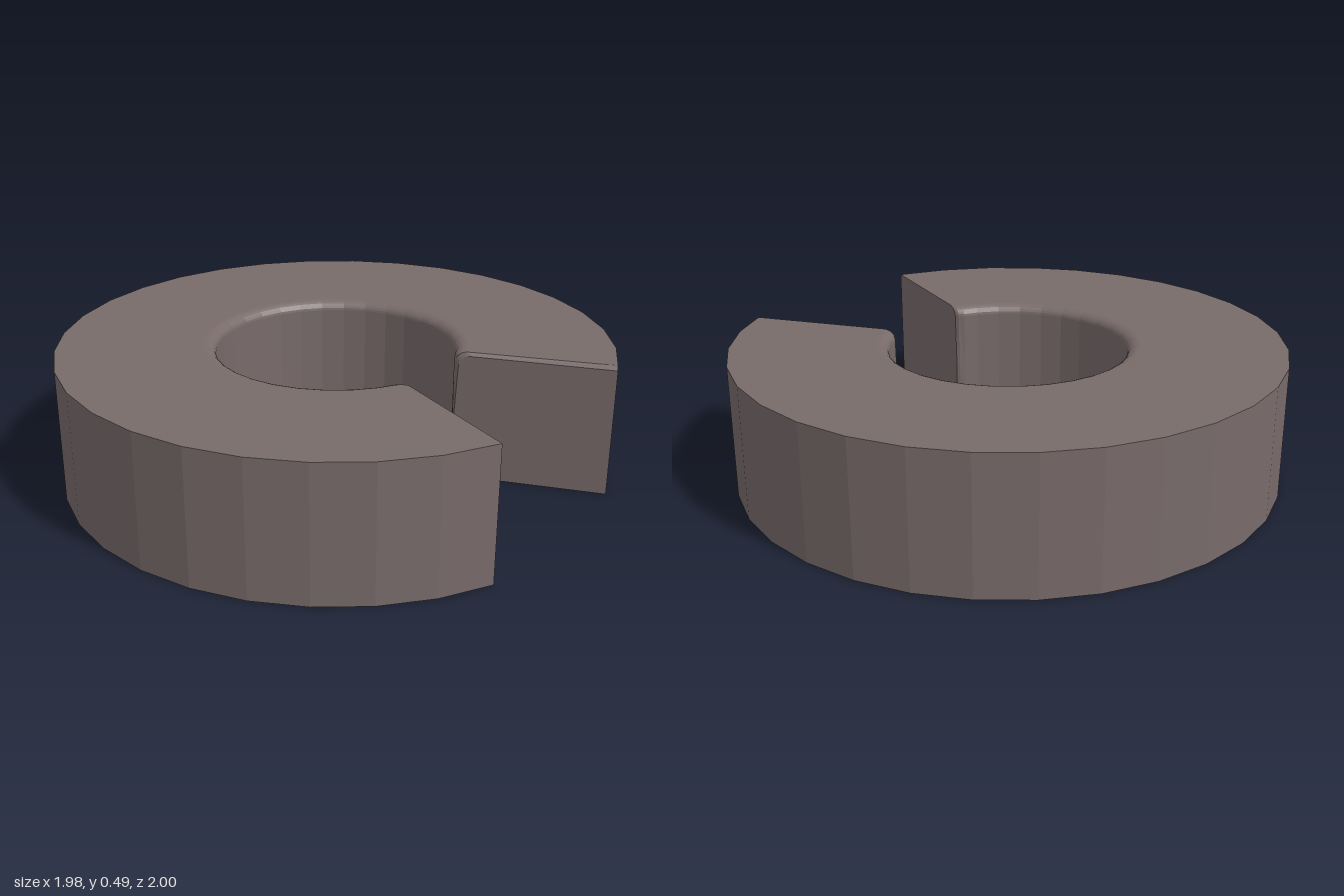
import * as THREE from 'three';

const H = 0.485, R = 1, HOLE = 0.433, FILLET = 0.045;
const STEP = 11.25, FIRST = 33.75, LAST = 348.75;
const rad = THREE.MathUtils.degToRad;

// Distance factor that keeps in-between points on the straight facets
function chord(a) {
  const mid = (Math.floor(a / STEP + 1e-6) + 0.5) * STEP;
  return Math.cos(rad(STEP / 2)) / Math.cos(rad(a - mid));
}

// One radial cross-section, running up the outside, over the top and down the hole
function section(a) {
  const gap = Math.min(a - FIRST, LAST - a);
  const round = gap < 0.1 ? 1 : gap < 1.5 ? 0.42 : 0; // eased inner corners at the mouth
  const drop = LAST - a < 0.1 ? 0.012 : 0;            // softened upper edge of the back end
  const profile = [[R, 0], [R, H - drop]];
  for (let i = 0; i <= 6; i++) {
    const t = (i / 6) * Math.PI / 2;
    profile.push([
      HOLE + FILLET * (1 - Math.sin(t)) + 0.018 * round,
      H - FILLET * 0.75 * (1 - Math.cos(t)) - drop,
    ]);
  }
  profile.push([HOLE + 0.009 * round, 0.25], [HOLE + 0.015 * round, 0.12], [HOLE + 0.04 * round, 0]);
  const k = chord(a), c = Math.cos(rad(a)), s = Math.sin(rad(a));
  return profile.map(([r, y]) => [r * k * c + 0.0096, y, r * k * s]);
}

function ringGeometry() {
  const angles = [FIRST, FIRST + 1.2, FIRST + 4];
  for (let a = FIRST + STEP; a < LAST - 1; a += STEP) angles.push(a);
  angles.push(LAST - 4, LAST - 1.2, LAST);
  const rings = angles.map(section);
  const n = rings[0].length, pos = [];
  const tri = (...pts) => pts.forEach((p) => pos.push(...p));

  // Skin between neighbouring sections
  for (let i = 0; i < rings.length - 1; i++) {
    for (let j = 0; j < n; j++) {
      const m = (j + 1) % n;
      const A = rings[i][j], B = rings[i][m], C = rings[i + 1][j], D = rings[i + 1][m];
      tri(A, B, D);
      tri(A, D, C);
    }
  }
  // Flat faces on both sides of the mouth
  const start = rings[0], end = rings[rings.length - 1];
  for (let j = 1; j < n - 1; j++) {
    tri(start[0], start[j + 1], start[j]);
    tri(end[0], end[j], end[j + 1]);
  }
  const g = new THREE.BufferGeometry();
  g.setAttribute('position', new THREE.Float32BufferAttribute(pos, 3));
  g.computeVertexNormals();
  return g;
}

export function createModel() {
  const group = new THREE.Group();
  group.name = 'splitRing';
  const stone = new THREE.MeshStandardMaterial({ color: 0x786b6a });
  stone.name = 'warm grey';
  stone.flatShading = true;
  const ring = new THREE.Mesh(ringGeometry(), stone);
  ring.name = 'openRing';
  group.add(ring);
  return group;
}
